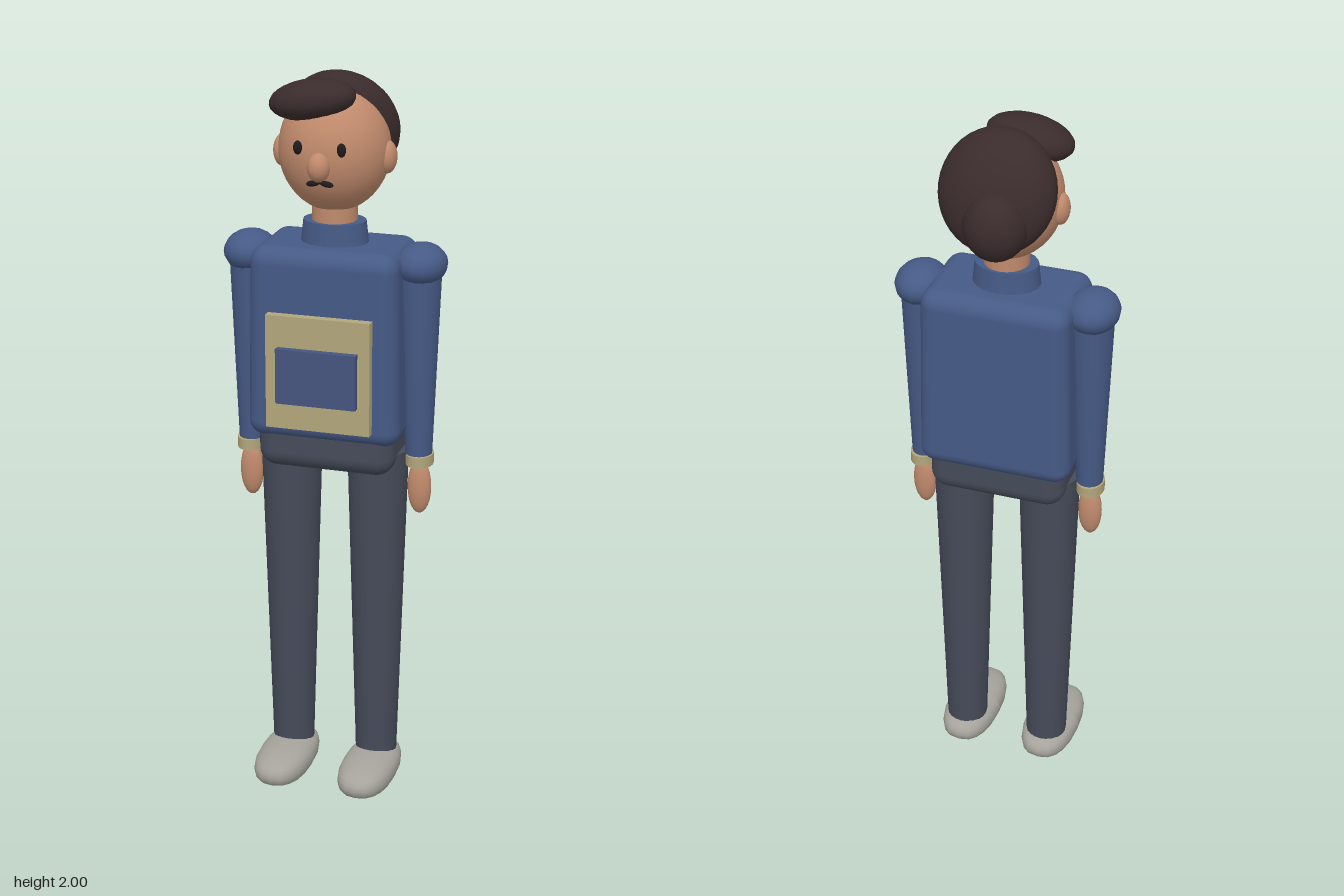
import * as THREE from 'three';
import { RoundedBoxGeometry } from 'three/addons/geometries/RoundedBoxGeometry.js';

const paint = (name, color) => {
  const m = new THREE.MeshStandardMaterial({ color });
  m.name = name;
  return m;
};

export function createModel() {
  const model = new THREE.Group();
  model.name = 'standingFigure';

  const sweater = paint('sweaterBlue', 0x465a86);
  const patchBlue = paint('patchBlue', 0x46557f);
  const trousers = paint('trouserGrey', 0x454b59);
  const tan = paint('tanTrim', 0xb3a67c);
  const skin = paint('skin', 0xc08a6c);
  const hair = paint('hairBrown', 0x3a2b2c);
  const shoe = paint('shoeGrey', 0xa5a39b);
  const dark = paint('featureDark', 0x1f1a1c);

  const add = (name, geometry, material, x, y, z, parent = model) => {
    const mesh = new THREE.Mesh(geometry, material);
    mesh.name = name;
    mesh.position.set(x, y, z);
    parent.add(mesh);
    return mesh;
  };
  const ball = (rx, ry, rz, w = 24, h = 16) => new THREE.SphereGeometry(1, w, h).scale(rx, ry, rz);

  // Elliptical tapered tube between two heights; stays open unless capped
  const limb = (rTop, rBottom, height, depth, sides = 20) =>
    new THREE.CylinderGeometry(rTop, rBottom, height, sides).scale(1, 1, depth);

  // Slightly squared ellipsoid
  const softBall = (rx, ry, rz, power) => {
    const g = new THREE.SphereGeometry(1, 20, 14);
    const p = g.attributes.position;
    const f = (v) => Math.sign(v) * Math.abs(v) ** power;
    for (let i = 0; i < p.count; i++) {
      p.setXYZ(i, f(p.getX(i)) * rx, f(p.getY(i)) * ry, f(p.getZ(i)) * rz);
    }
    g.computeVertexNormals();
    return g;
  };

  // Torso, collar and hips
  const torso = new RoundedBoxGeometry(0.42, 0.525, 0.272, 4, 0.045);
  const tp = torso.attributes.position;
  for (let i = 0; i < tp.count; i++) tp.setX(i, tp.getX(i) * (0.975 - 0.09 * tp.getY(i)));
  add('torso', torso, sweater, 0, 1.292, 0);
  add('collar', limb(0.084, 0.092, 0.075, 0.8, 24), sweater, 0, 1.575, 0);
  add('hips', new RoundedBoxGeometry(0.375, 0.16, 0.24, 4, 0.05), trousers, 0, 1.018, 0);

  // Chest panel and patch
  add('chestPanel', new THREE.BoxGeometry(0.284, 0.31, 0.05), tan, 0, 1.23, 0.136);
  add('chestPatch', new THREE.BoxGeometry(0.218, 0.15, 0.03), patchBlue, 0, 1.225, 0.166);

  // Head and face
  add('neck', limb(0.06, 0.06, 0.14, 1), skin, 0, 1.63, 0);
  add('head', ball(0.147, 0.165, 0.145, 32, 24), skin, 0, 1.802, 0);
  add('nose', ball(0.03, 0.038, 0.032, 16, 12), skin, 0, 1.782, 0.143);
  const moustache = new THREE.Group();
  moustache.name = 'moustache';
  model.add(moustache);
  for (const s of [-1, 1]) {
    add('ear', ball(0.024, 0.043, 0.034, 16, 12), skin, s * 0.142, 1.787, 0);
    add('eye', ball(0.012, 0.018, 0.01, 12, 10), dark, s * 0.058, 1.828, 0.135);
    add('moustacheHalf', ball(0.02, 0.008, 0.01, 12, 8), dark, s * 0.017, 1.738, 0.133, moustache)
      .rotation.z = -s * 0.2;
  }

  // Hair: tilted back cap, swept fringe and bun
  add('hairCap', ball(0.153, 0.16, 0.091, 28, 20), hair, 0, 1.848, -0.072).rotation.x = 0.44;
  add('hairFringe', ball(0.116, 0.053, 0.076, 20, 14), hair, -0.04, 1.938, 0.066).rotation.z = 0.15;
  add('hairBun', ball(0.083, 0.09, 0.077, 20, 14), hair, -0.02, 1.79, -0.148);

  // Arms and legs, mirrored
  for (const s of [-1, 1]) {
    const side = s > 0 ? 'left' : 'right';
    const arm = new THREE.Group();
    arm.name = side + 'Arm';
    model.add(arm);
    add('shoulder', ball(0.07, 0.056, 0.084, 16, 12), sweater, s * 0.234, 1.51, 0, arm);
    const sleeve = add('sleeve', limb(0.061, 0.035, 0.54, 1.1), sweater, s * 0.232, 1.24, 0, arm);
    sleeve.rotation.z = s * 0.012;
    add('cuff', limb(0.037, 0.037, 0.03, 1.3), tan, s * 0.238, 0.97, 0, arm);
    add('hand', ball(0.033, 0.077, 0.023, 16, 12), skin, s * 0.238, 0.887, 0, arm);

    const leg = new THREE.Group();
    leg.name = side + 'Leg';
    model.add(leg);
    add('trouserLeg', limb(0.083, 0.057, 0.92, 1.04), trousers, s * 0.122, 0.53, 0, leg);
    add('shoe', softBall(0.077, 0.047, 0.156, 0.82), shoe, s * 0.122, 0.047, 0.066, leg);
  }
  return model;
}
